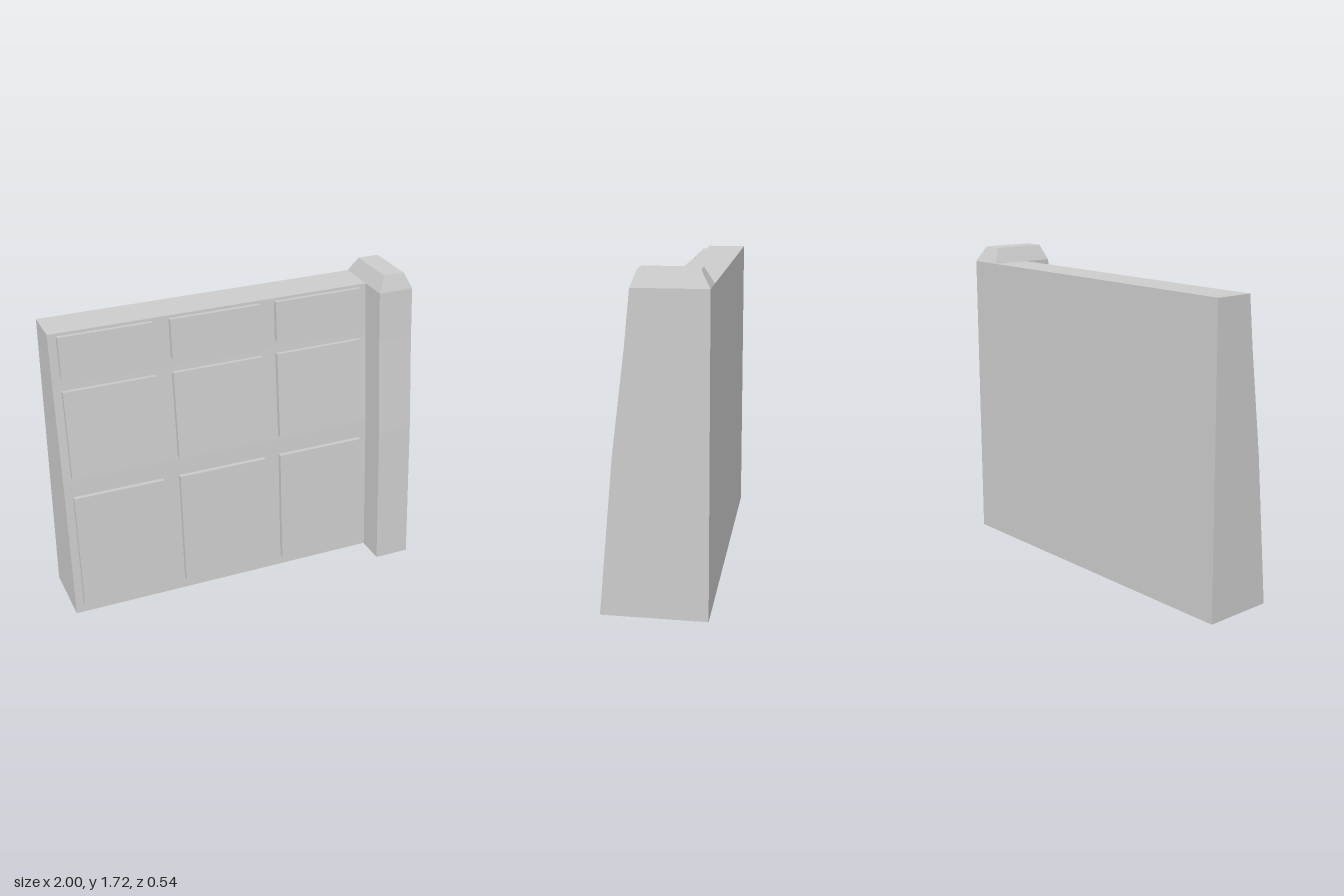
import * as THREE from 'three';

const BACK = -0.27;
// Front slope of the pillar as [z, y]; the wall follows it, set back by INSET
const SLOPE = [[0.27, 0.01], [0.2, 0.82], [0.135, 1.36], [0.108, 1.635]];
const INSET = 0.162;

// z of the wall front at height y
function wallZ(y) {
  let i = 0;
  while (i < SLOPE.length - 2 && y > SLOPE[i + 1][1]) i++;
  const [z0, y0] = SLOPE[i], [z1, y1] = SLOPE[i + 1];
  return z0 + (z1 - z0) * (y - y0) / (y1 - y0) - INSET;
}

export function createModel() {
  const group = new THREE.Group();
  const material = new THREE.MeshStandardMaterial({ color: 0xcccccc, flatShading: true });

  function add(name, geometry) {
    const mesh = new THREE.Mesh(geometry, material);
    mesh.name = name;
    group.add(mesh);
    return mesh;
  }

  // Extrude a side profile of [z, y] points from x0 to x1
  function slab(name, profile, x0, x1) {
    const shape = new THREE.Shape(profile.map(([z, y]) => new THREE.Vector2(z, y)));
    const geometry = new THREE.ExtrudeGeometry(shape, { depth: x1 - x0, bevelEnabled: false });
    geometry.rotateY(-Math.PI / 2).translate(x1, 0, 0);
    return add(name, geometry);
  }

  // Battered wall and the thicker end pillar
  const top = SLOPE[SLOPE.length - 1][1];
  const back = [[BACK, top], [BACK, 0]];
  slab('wall', [...SLOPE.map(([z, y]) => [z - INSET, y]), ...back], -1, 0.8);
  slab('pillar', [...SLOPE, ...back], 0.8, 1);

  // Chamfered cap: a box whose top corners are drawn inwards
  const cap = new THREE.BoxGeometry(1, 1, 1);
  const pos = cap.attributes.position;
  for (let i = 0; i < pos.count; i++) {
    const upper = pos.getY(i) > 0, right = pos.getX(i) > 0, front = pos.getZ(i) > 0;
    const x = 0.9 + (right ? 1 : -1) * (upper ? 0.06 : 0.1);
    const z = front ? (upper ? 0.075 : 0.108) : (upper ? -0.222 : BACK);
    pos.setXYZ(i, x, upper ? 1.72 : top, z);
  }
  cap.computeVertexNormals();
  add('pillarCap', cap);

  // Raised panels, three columns by three rows, standing square to the slope
  const columns = [[-0.955, -0.448], [-0.355, 0.155], [0.245, 0.755]];
  const rows = [[0.07, 0.725], [0.838, 1.325], [1.4, 1.62]];
  const thick = 0.028;
  for (const [y0, y1] of rows) {
    const z0 = wallZ(y0), z1 = wallZ(y1);
    const length = Math.hypot(y1 - y0, z1 - z0);
    const nz = thick * (y1 - y0) / length, ny = thick * (z0 - z1) / length;
    const profile = [
      [z0 - nz, y0 - ny], [z0 + nz, y0 + ny],
      [z1 + nz, y1 + ny], [z1 - nz, y1 - ny],
    ];
    for (const [x0, x1] of columns) slab('panel', profile, x0, x1);
  }
  return group;
}
